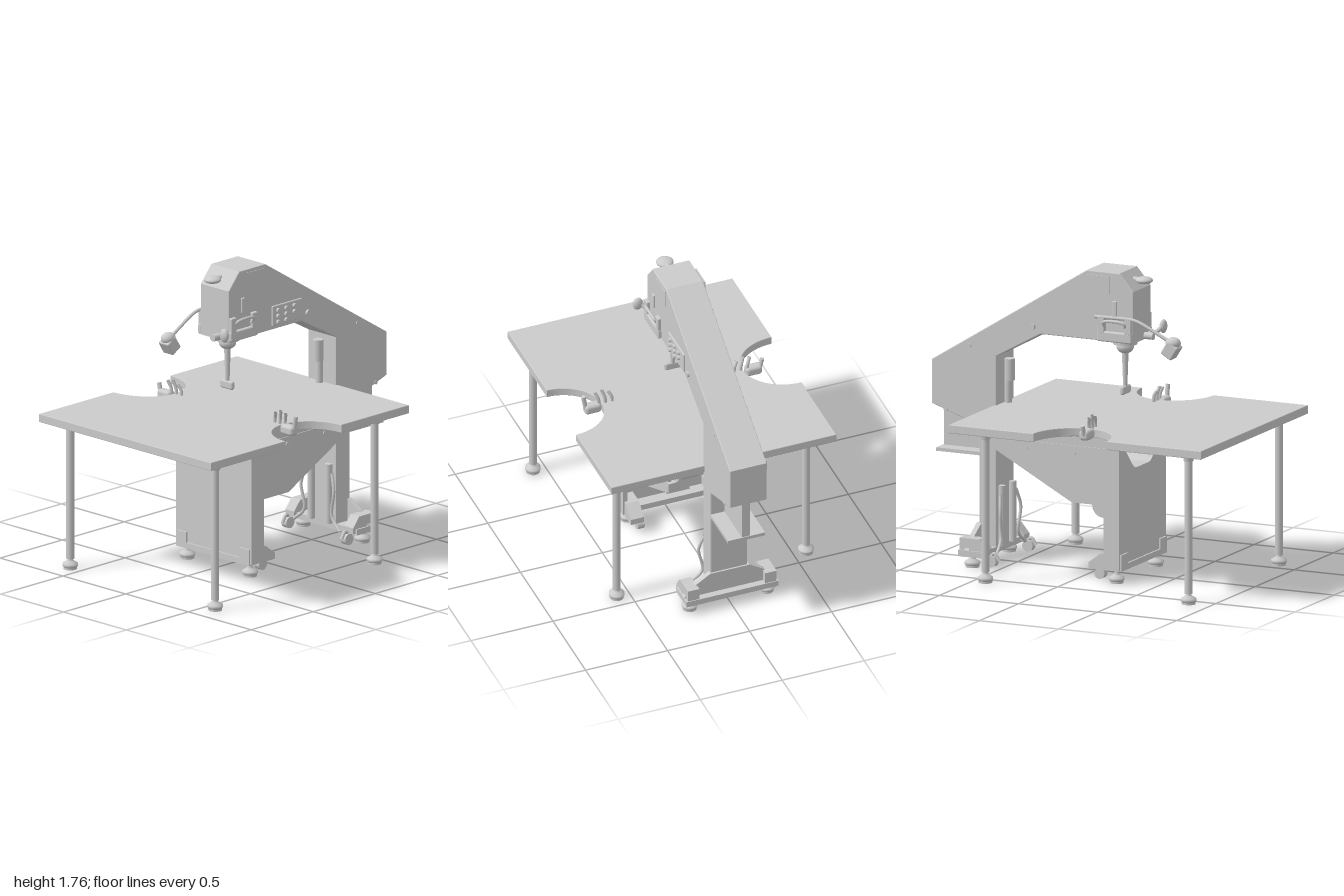
import * as THREE from 'three';
import { RoundedBoxGeometry } from 'three/addons/geometries/RoundedBoxGeometry.js';

const grey = new THREE.MeshStandardMaterial({ color: 0xcccccc, side: THREE.DoubleSide });

export function createModel() {
  const model = new THREE.Group();
  const add = (name, geo) => {
    const m = new THREE.Mesh(geo, grey);
    m.name = name;
    model.add(m);
    return m;
  };
  const box = (name, x0, x1, y0, y1, z0, z1) =>
    add(name, new THREE.BoxGeometry(x1 - x0, y1 - y0, z1 - z0)
      .translate((x0 + x1) / 2, (y0 + y1) / 2, (z0 + z1) / 2));
  const soft = (name, x0, x1, y0, y1, z0, z1, r = 0.01) =>
    add(name, new RoundedBoxGeometry(x1 - x0, y1 - y0, z1 - z0, 2, r)
      .translate((x0 + x1) / 2, (y0 + y1) / 2, (z0 + z1) / 2));
  // cylinder or cone from point a to point b
  const rod = (name, a, b, ra, rb = ra, sides = 20) => {
    const p = new THREE.Vector3(...a), q = new THREE.Vector3(...b), d = q.clone().sub(p);
    const m = add(name, new THREE.CylinderGeometry(rb, ra, d.length(), sides));
    m.position.copy(p).add(q).multiplyScalar(0.5);
    m.quaternion.setFromUnitVectors(new THREE.Vector3(0, 1, 0), d.normalize());
    return m;
  };
  const ball = (name, x, y, z, rx, ry = rx, rz = rx) =>
    add(name, new THREE.SphereGeometry(1, 20, 14).scale(rx, ry, rz).translate(x, y, z));
  const tube = (name, pts, r) => add(name, new THREE.TubeGeometry(
    new THREE.CatmullRomCurve3(pts.map(p => new THREE.Vector3(...p))), 20, r, 10));
  // side profile in x/y, pushed through z
  const profile = (name, pts, z0, z1, bevel = 0) => {
    const s = new THREE.Shape(pts.map(p => new THREE.Vector2(...p)));
    return add(name, new THREE.ExtrudeGeometry(s, {
      depth: z1 - z0 - 2 * bevel, bevelEnabled: bevel > 0, bevelSize: bevel,
      bevelThickness: bevel, bevelOffset: -bevel, bevelSegments: 2,
    }).translate(0, 0, z0 + bevel));
  };
  const foot = (x, z) => {
    const pts = [[0, 0.012], [0.04, 0.012], [0.045, 0.02], [0.045, 0.032], [0.025, 0.045], [0.014, 0.055], [0.014, 0.09]];
    add('levellingFoot', new THREE.LatheGeometry(pts.map(p => new THREE.Vector2(...p)), 24).translate(x, 0, z));
    rod('footPad', [x, 0, z], [x, 0.014, z], 0.04);
  };

  // table top with a rounded bay at front and back
  const t = new THREE.Shape();
  t.moveTo(-1, -0.69);
  t.lineTo(-0.4, -0.69);
  t.absellipse(-0.17, -0.69, 0.23, 0.265, Math.PI, 0, true);
  t.lineTo(0.595, -0.69);
  t.lineTo(0.595, 0.68);
  t.lineTo(0.05, 0.68);
  t.absellipse(-0.175, 0.68, 0.225, 0.245, 0, Math.PI, true);
  t.lineTo(-1, 0.68);
  add('tableTop', new THREE.ExtrudeGeometry(t, {
    depth: 0.042, bevelEnabled: true, bevelSize: 0.004, bevelThickness: 0.004,
    bevelOffset: -0.004, bevelSegments: 2, curveSegments: 32,
  }).rotateX(Math.PI / 2).translate(0, 0.916, 0));

  // table legs
  for (const x of [-0.865, 0.42]) for (const z of [-0.575, 0.58]) {
    rod('tableLeg', [x, 0.06, z], [x, 0.87, z], 0.023);
    rod('legCollar', [x, 0.83, z], [x, 0.87, z], 0.028, 0.035);
    foot(x, z);
  }

  // overhead arm and rear column
  profile('armAndColumn', [[-0.285, 1.36], [-0.285, 1.66], [-0.2, 1.76], [0.01, 1.76], [0.99, 1.15],
    [0.99, 0.895], [0.69, 0.79], [0.69, 0.08], [0.58, 0.08], [0.58, 1.205], [0.3, 1.36]], -0.11, 0.115, 0.005);
  box('rearShelf', 0.68, 0.96, 0.62, 0.64, -0.11, 0.115);
  box('rearWeb', 0.68, 0.955, 0.63, 0.89, -0.02, 0.03);

  // column base with sloped gussets and feet
  const gusset = profile('baseGusset', [[-0.28, 0.07], [0.28, 0.07], [0.28, 0.1], [0.25, 0.14], [0.2, 0.18], [0.12, 0.23],
    [-0.12, 0.23], [-0.2, 0.18], [-0.25, 0.14], [-0.28, 0.1]], 0, 0.03);
  gusset.rotation.y = Math.PI / 2;
  gusset.position.x = 0.67;
  box('baseBar', 0.58, 0.74, 0.065, 0.1, -0.28, 0.28);
  for (const s of [-1, 1]) {
    const za = s * 0.235;
    profile('columnFoot', [[0.56, 0.075], [0.735, 0.075], [0.735, 0.17], [0.61, 0.17], [0.56, 0.11]], za - 0.035, za + 0.035);
    foot(0.67, za);
    rod('columnCaster', [0.545, 0.045, za - 0.02], [0.545, 0.045, za + 0.02], 0.033);
    tube('casterLever', [[0.56, 0.06, za], [0.53, 0.09, za], [0.5, 0.05, za]], 0.01);

    // bed foot
    profile('bedFoot', [[-0.3, 0.075], [-0.09, 0.075], [-0.09, 0.11], [-0.17, 0.17], [-0.3, 0.17]], s * 0.25 - 0.04, s * 0.25 + 0.04);
    foot(-0.25, s * 0.25);
    rod('bedCaster', [-0.135, 0.04, s * 0.22 - 0.02], [-0.135, 0.04, s * 0.22 + 0.02], 0.032);

    // rail under the table
    box('bedRailTop', -0.53, 0.5, 0.835, 0.87, s * 0.265 - 0.03, s * 0.265 + 0.03);
    box('bedRailWeb', -0.53, 0.49, 0.775, 0.84, s * 0.285 - 0.01, s * 0.285 + 0.01);
    // channel flange of the bed column
    box('columnFlange', -0.29, -0.19, 0.08, 0.46, s * 0.285 - 0.015, s * 0.285 + 0.015);
    for (const x of [0, 0.3]) rod('bedBolt', [x, 0.735, s * 0.29], [x, 0.735, s * 0.305], 0.015);
    // struts beside the column
    rod('strut', [0.565, 0.1, s * 0.07], [0.565, 0.45, s * 0.07], 0.022);
    tube('strutHose', [[0.56, 0.4, s * 0.1], [0.545, 0.3, s * 0.13], [0.55, 0.15, s * 0.11], [0.54, 0.08, s * 0.18]], 0.009);
  }
  box('columnPanel', -0.29, -0.265, 0.08, 0.46, -0.3, 0.3);
  box('bedCrossBar', -0.3, -0.2, 0.075, 0.11, -0.29, 0.29);

  // bed trough: hollow on top, sloping underneath, notched round the column
  const ease = z => THREE.MathUtils.smoothstep(Math.abs(z), 0.08, 0.26);
  const topY = z => 0.64 + 0.14 * ease(z);
  const endX = z => 0.21 + 0.3 * ease(z);
  const trough = (name, x0, end, bottom) => {
    const g = new THREE.BoxGeometry(1, 1, 1, 1, 1, 40), p = g.attributes.position;
    for (let i = 0; i < p.count; i++) {
      const z = p.getZ(i) * 0.6, x = p.getX(i) < 0 ? x0 : end(z);
      p.setXYZ(i, x, p.getY(i) > 0 ? topY(z) : bottom(x), z);
    }
    g.computeVertexNormals();
    add(name, g);
  };
  trough('bedTrough', -0.29, () => 0.01, () => 0.45);
  trough('bedNose', 0.01, endX, x => 0.45 + 0.54 * (x - 0.01));

  // drive motor under the bed
  box('motorBox', -0.19, -0.095, 0.23, 0.4, -0.07, 0.07);
  rod('motor', [-0.09, 0.4, -0.1], [-0.09, 0.4, 0.1], 0.07);
  box('motorPlate', -0.16, 0.0, 0.42, 0.455, -0.12, 0.12);
  rod('motorShaft', [-0.09, 0.4, 0.1], [-0.09, 0.4, 0.15], 0.03);

  // gas spring above the table
  rod('spring', [0.55, 1.05, 0], [0.55, 1.175, 0], 0.03);
  rod('springRod', [0.56, 0.9, 0], [0.56, 1.05, 0], 0.022);

  // head trim and carriage, both sides
  for (const s of [-1, 1]) {
    const z = s * 0.12;
    soft('carriagePlate', -0.285, -0.065, 1.36, 1.42, z - 0.015, z + 0.015);
    for (const x of [-0.26, -0.09]) soft('carriageBlock', x - 0.022, x + 0.022, 1.41, 1.5, z - 0.015, z + 0.015, 0.006);
    tube('carriageHandle', [[-0.24, 1.44, z], [-0.24, 1.475, z + s * 0.02], [-0.11, 1.475, z + s * 0.02], [-0.11, 1.44, z]], 0.009);
    soft('slot', -0.188, -0.16, 1.51, 1.6, z - 0.01, z + 0.005, 0.005);
    rod('armKnob', [0.35, 1.4, s * 0.105], [0.35, 1.4, s * 0.128], 0.018);
    rod('armBolt', [0.75, 1.25, s * 0.105], [0.75, 1.25, s * 0.12], 0.012);
    rod('armBolt', [0.9, 0.85 + 0.02, s * 0.105], [0.9, 0.87, s * 0.118], 0.012);
    box('coverPlate', -0.14, 0, 1.635, 1.74, z - 0.008, z - 0.002);
  }

  // control panel
  soft('controlPanel', 0.06, 0.3, 1.38, 1.5, 0.11, 0.125, 0.006);
  for (let i = 0; i < 3; i++) for (let j = 0; j < 3; j++) {
    const x = 0.1 + i * 0.065, y = 1.4 + j * 0.035;
    if (i < 2 || j) rod('button', [x, y, 0.12], [x, y, 0.137], 0.015, 0.012, 14);
  }

  // needle drive and presser foot
  rod('needleCollar', [-0.18, 1.33, 0], [-0.18, 1.37, 0], 0.07);
  ball('needleHub', -0.18, 1.315, 0, 0.05, 0.04, 0.05);
  rod('presserBar', [-0.18, 1.08, 0], [-0.18, 1.3, 0], 0.012, 0.02);
  soft('presserFoot', -0.195, -0.168, 1.04, 1.09, -0.05, 0.05, 0.012);

  // top hand knob and side lever
  rod('topKnobStem', [-0.29, 1.71, 0], [-0.22, 1.71, 0], 0.015);
  ball('topKnob', -0.3, 1.71, 0, 0.05, 0.021, 0.05);
  tube('sideLever', [[-0.27, 1.38, 0.08], [-0.32, 1.39, 0.1], [-0.35, 1.42, 0.13]], 0.013);
  ball('leverGrip', -0.35, 1.42, 0.145, 0.02, 0.04, 0.03);
  rod('sideKnob', [-0.285, 1.38, 0.04], [-0.34, 1.38, 0.04], 0.02);

  // work lamp
  tube('lampArm', [[-0.05, 1.5, -0.125], [-0.29, 1.5, -0.125], [-0.33, 1.49, -0.125], [-0.52, 1.395, -0.115]], 0.01);
  ball('lampJoint', -0.54, 1.39, -0.115, 0.045, 0.035, 0.04);
  const lamp = add('lampHead', new RoundedBoxGeometry(0.075, 0.085, 0.08, 2, 0.008));
  lamp.position.set(-0.53, 1.35, -0.115);
  lamp.rotation.z = 0.55;

  // clamp handles standing at the table bays
  for (const s of [-1, 1]) {
    for (const [z, h] of [[0.37, 0.98], [0.41, 1.0], [0.45, 0.99]])
      tube('clampHandle', [[-0.18, 0.88, s * z], [-0.175, 0.95, s * (z + 0.005)], [-0.185, h, s * (z + 0.02)]], 0.01);
    soft('clampBody', -0.21, -0.15, 0.87, 0.93, s * 0.49 - 0.05, s * 0.49 + 0.05, 0.02);
    rod('clampPin', [-0.18, 0.9, s * 0.53], [-0.18, s > 0 ? 0.99 : 0.96, s * 0.545], 0.013);
  }
  return model;
}
